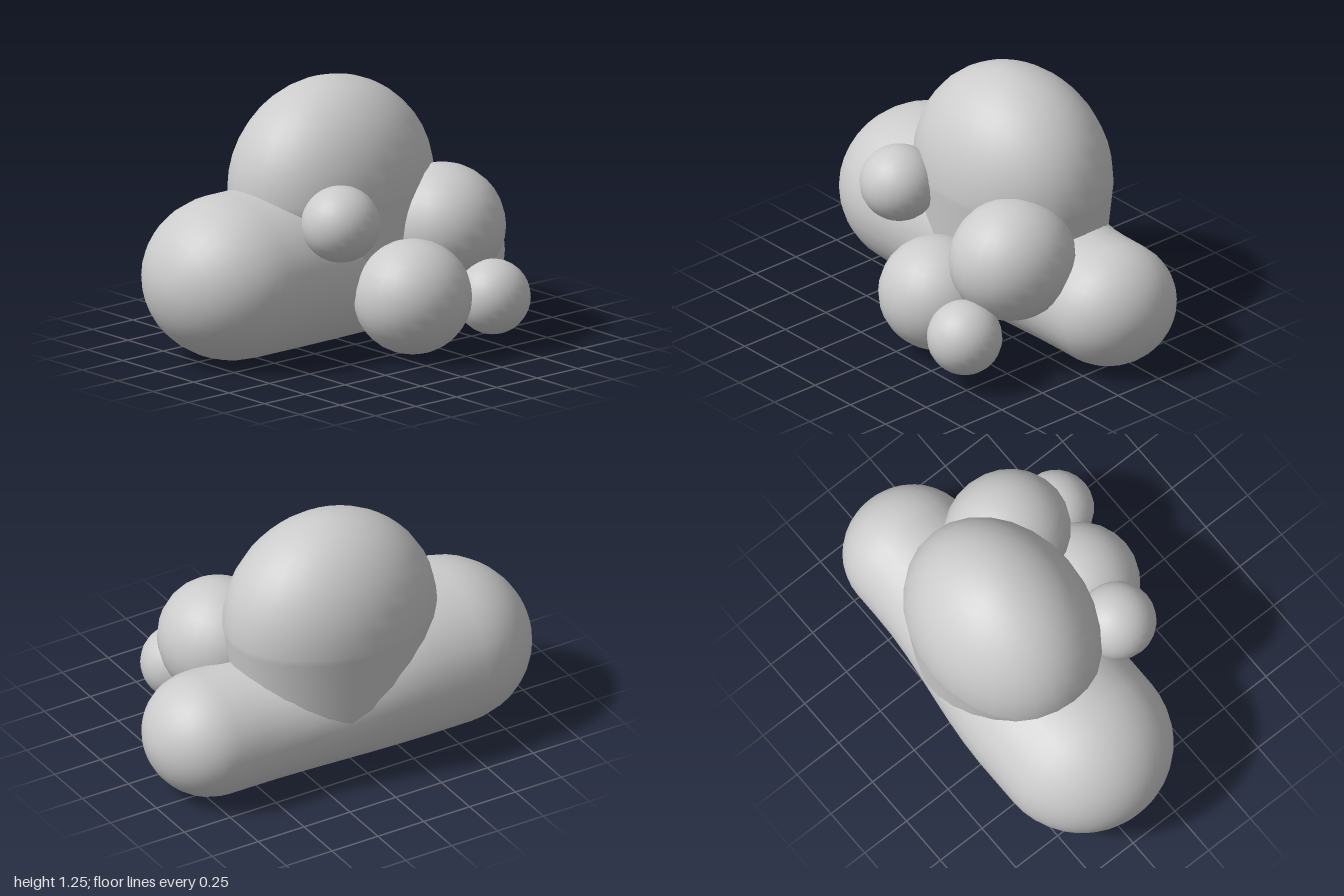
import * as THREE from 'three';
import { mergeVertices } from 'three/addons/utils/BufferGeometryUtils.js';

const material = new THREE.MeshStandardMaterial({ color: 0xcccccc });
const { lerp, clamp, smoothstep } = THREE.MathUtils;

// Unit capsule (axis from -2 to 2) whose vertices are moved by a rule
function shapedCapsule(name, alongX, rule) {
  let geo = new THREE.CapsuleGeometry(1, 2, 10, 28, 10);
  if (alongX) geo.rotateZ(-Math.PI / 2);
  geo.deleteAttribute('uv');
  geo.deleteAttribute('normal');
  geo = mergeVertices(geo, 1e-4);
  const pos = geo.attributes.position;
  const v = new THREE.Vector3();
  for (let i = 0; i < pos.count; i++) {
    rule(v.fromBufferAttribute(pos, i));
    pos.setXYZ(i, v.x, v.y, v.z);
  }
  geo.computeVertexNormals();
  const mesh = new THREE.Mesh(geo, material);
  mesh.name = name;
  return mesh;
}

function puff(name, [x, y, z], [rx, ry, rz]) {
  const mesh = new THREE.Mesh(new THREE.SphereGeometry(1, 24, 16), material);
  mesh.position.set(x, y, z);
  mesh.scale.set(rx, ry, rz);
  mesh.name = name;
  return mesh;
}

export function createModel() {
  const group = new THREE.Group();
  group.name = 'cloud';

  // Long base, thick at its right end and slimmer at its left
  group.add(shapedCapsule('base', true, (v) => {
    const core = clamp(v.x, -1, 1);
    const cap = v.x - core;
    const x = lerp(-0.58, 0.7, (core + 1) / 2);
    const taper = smoothstep(x, -0.35, 0.55);
    const ry = lerp(0.39, 0.295, taper);
    const rz = lerp(0.425, 0.32, taper);
    v.set(x + cap * (cap < 0 ? 0.42 : 0.3), ry + 0.003 + v.y * ry, -0.21 + v.z * rz);
  }));

  // Tall dome that runs down into the base
  group.add(shapedCapsule('dome', false, (v) => {
    const core = clamp(v.y, -1, 1);
    const cap = v.y - core;
    const s = (core + 1) / 2;
    v.set(
      0.025 + v.x * lerp(0.49, 0.53, s),
      lerp(0.42, 0.74, s) + cap * (cap < 0 ? 0.39 : 0.51),
      -0.2 + v.z * lerp(0.39, 0.415, s)
    );
  }));

  // Round puffs on the front
  group.add(
    puff('upperRightPuff', [-0.29, 0.685, 0.23], [0.185, 0.18, 0.185]),
    puff('upperLeftPuff', [0.415, 0.54, 0.145], [0.287, 0.29, 0.305]),
    puff('lowerMiddlePuff', [0.08, 0.285, 0.315], [0.28, 0.27, 0.275]),
    puff('lowerLeftPuff', [0.445, 0.25, 0.465], [0.178, 0.177, 0.175])
  );
  return group;
}
